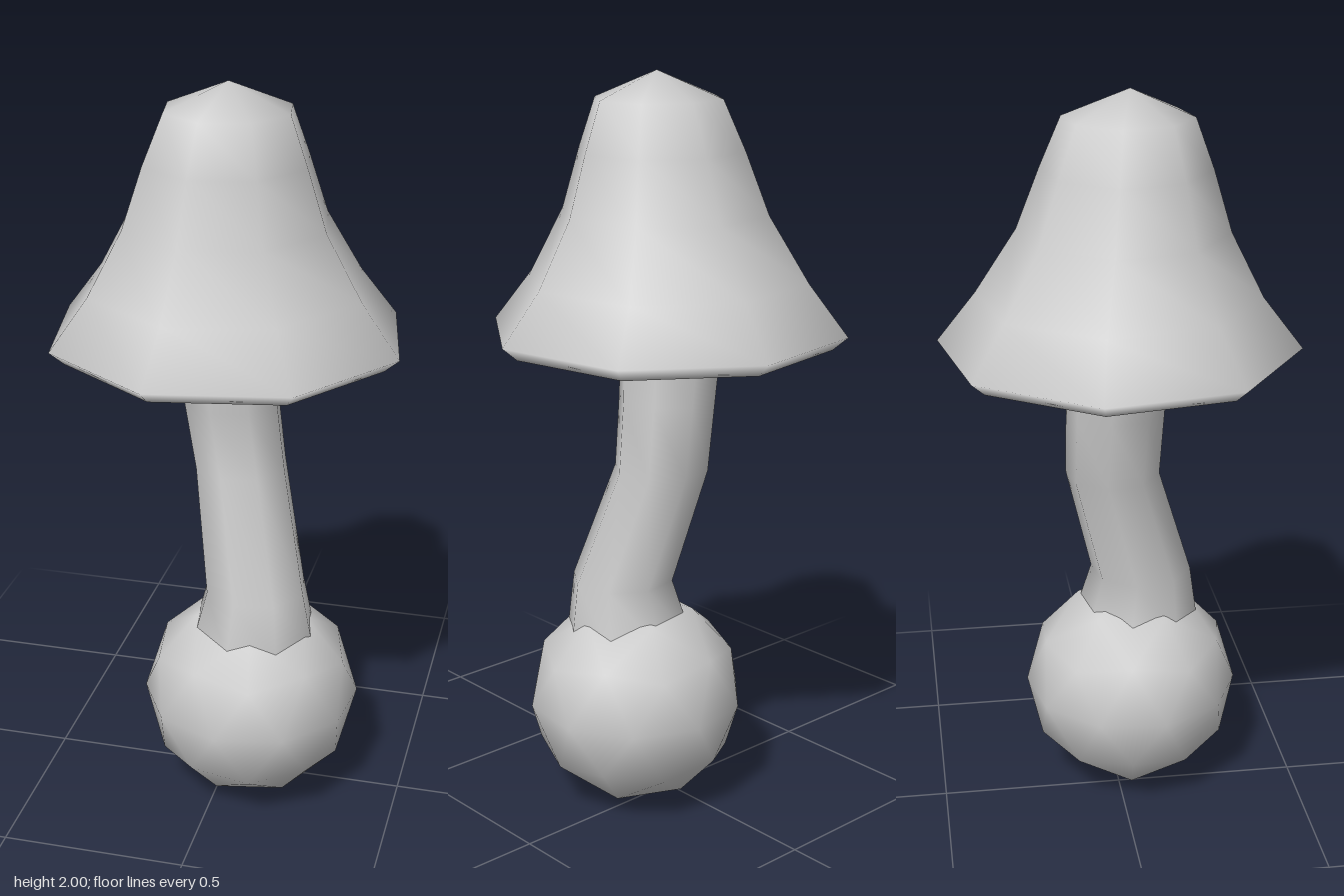
import * as THREE from 'three';
import { mergeVertices } from 'three/addons/utils/BufferGeometryUtils.js';

const material = new THREE.MeshStandardMaterial({ color: 0xcccccc, side: THREE.DoubleSide });

// Weld the vertices and recompute smooth normals
function smooth(geometry) {
  geometry.deleteAttribute('uv');
  geometry.deleteAttribute('normal');
  const welded = mergeVertices(geometry, 1e-4);
  welded.computeVertexNormals();
  return welded;
}

// Stack of rings [radius, y, centreX, centreZ], listed from bottom to top
function ringStack(rings, sides, turn) {
  const points = rings.map(([r, y]) => new THREE.Vector2(r, y));
  const geometry = new THREE.LatheGeometry(points, sides, turn);
  const pos = geometry.attributes.position;
  for (let i = 0; i < pos.count; i++) {
    const [, , cx, cz] = rings[i % rings.length];
    pos.setX(i, pos.getX(i) + cx);
    pos.setZ(i, pos.getZ(i) + cz);
  }
  return smooth(geometry);
}

function addPart(group, name, geometry) {
  const mesh = new THREE.Mesh(geometry, material);
  mesh.name = name;
  group.add(mesh);
  return mesh;
}

export function createModel() {
  const group = new THREE.Group();
  group.name = 'mushroom';

  // Eight-sided bell cap: hollow underside, rim, then up to the tip
  addPart(group, 'cap', ringStack([
    [0.10, 1.41, 0, 0],
    [0.20, 1.36, 0, 0],
    [0.44, 1.30, 0, 0],
    [0.48, 1.335, 0, 0],
    [0.375, 1.47, 0, 0],
    [0.277, 1.64, 0, 0.012],
    [0.222, 1.80, 0.003, 0.02],
    [0.17, 1.93, 0.008, 0.025],
    [0, 2, 0.01, 0.03],
  ], 8, THREE.MathUtils.degToRad(33)));

  // Curved stem, flared where it enters the bulb
  addPart(group, 'stem', ringStack([
    [0.19, 0.40, 0.085, 0.055],
    [0.175, 0.49, 0.09, 0.06],
    [0.14, 0.64, 0.098, 0.075],
    [0.128, 0.96, 0.035, -0.013],
    [0.132, 1.15, 0.01, -0.008],
    [0.138, 1.30, -0.007, -0.003],
    [0.138, 1.45, -0.015, 0],
  ], 8, THREE.MathUtils.degToRad(33)));

  // Faceted round bulb standing on one corner
  const bulb = new THREE.IcosahedronGeometry(0.297, 1);
  bulb.rotateX(-Math.atan((1 + Math.sqrt(5)) / 2));
  bulb.rotateY(0.2);
  addPart(group, 'bulb', smooth(bulb)).position.set(0.08, 0.297, 0.045);

  return group;
}
